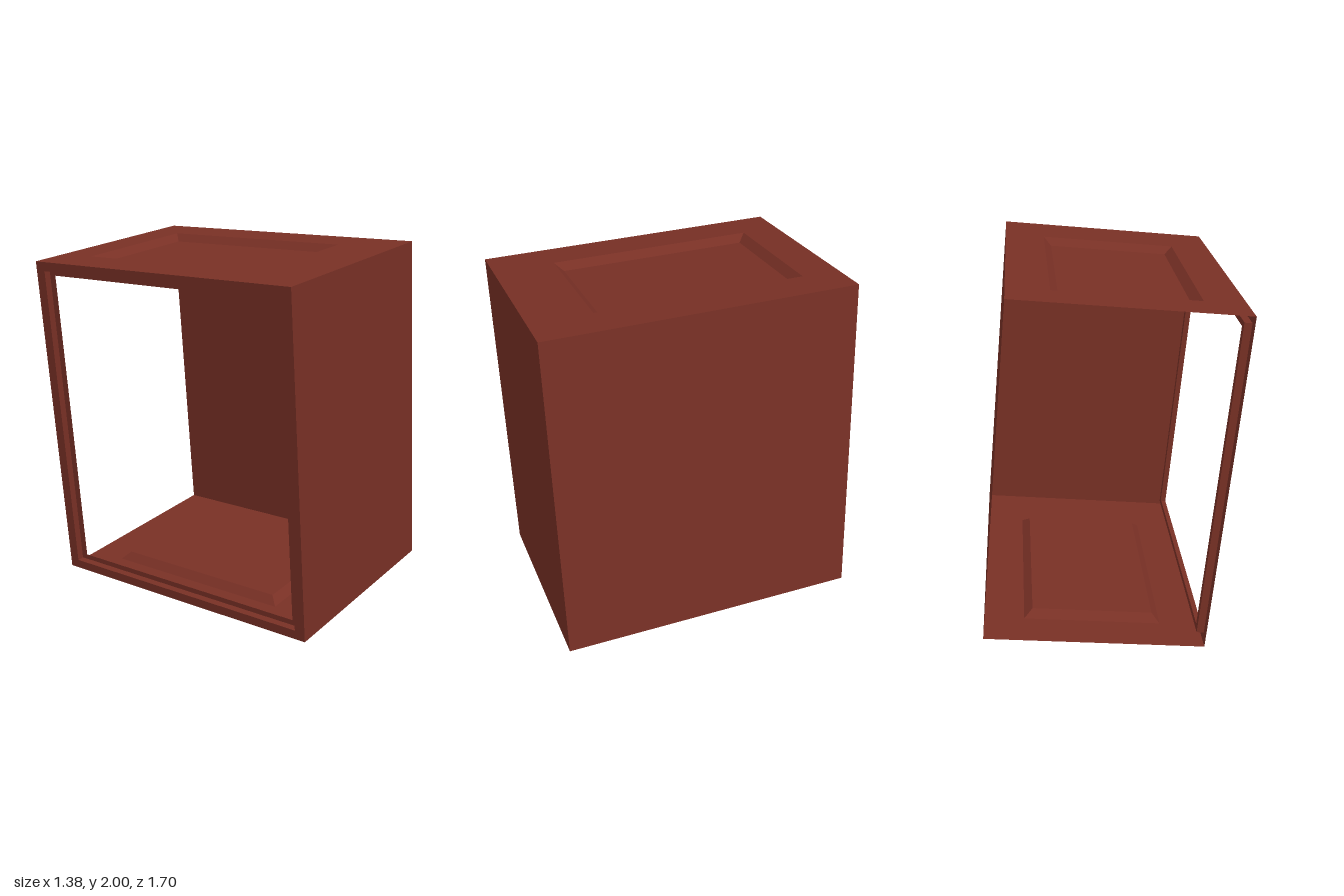
import * as THREE from 'three';

const W = 0.605, H = 0.9465, D = 0.85; // half sizes of the cabinet

// Surface facing +z through nested rectangles [u0, u1, v0, v1, depth]; optionally closed in the middle
function nestedRects(rings, capped) {
  const corners = ([u0, u1, v0, v1, z]) => [[u0, v0, z], [u1, v0, z], [u1, v1, z], [u0, v1, z]];
  const pos = [];
  const quad = (a, b, c, d) => pos.push(...a, ...b, ...c, ...a, ...c, ...d);
  for (let r = 0; r < rings.length - 1; r++) {
    const outer = corners(rings[r]), inner = corners(rings[r + 1]);
    for (let i = 0; i < 4; i++) {
      const j = (i + 1) % 4;
      quad(outer[i], outer[j], inner[j], inner[i]);
    }
  }
  if (capped) quad(...corners(rings[rings.length - 1]));
  const geo = new THREE.BufferGeometry();
  geo.setAttribute('position', new THREE.Float32BufferAttribute(pos, 3));
  geo.computeVertexNormals();
  return geo;
}

export function createModel() {
  const model = new THREE.Group();
  model.name = 'leaningCabinet';
  const paint = new THREE.MeshStandardMaterial({ color: 0x783025, side: THREE.DoubleSide });
  paint.name = 'brickRedPaint';

  // Whole shell leans sideways
  const shell = new THREE.Group();
  shell.name = 'shell';
  shell.position.y = 1;
  shell.rotation.z = THREE.MathUtils.degToRad(5.45);
  model.add(shell);

  const add = (name, geo) => {
    const mesh = new THREE.Mesh(geo, paint);
    mesh.name = name;
    shell.add(mesh);
  };

  // Plain front and side walls
  add('frontWall', new THREE.PlaneGeometry(2 * W, 2 * H).translate(0, 0, D));
  add('sideWall', new THREE.PlaneGeometry(2 * D, 2 * H).rotateY(Math.PI / 2).translate(W, 0, 0));

  // Top and bottom with a bevelled sunken panel, set slightly towards the back
  const sunken = (v0, v1) => nestedRects([
    [-W, W, -D, D, 0],
    [-0.382, 0.382, v0, v1, 0],
    [-0.338, 0.338, v0 + 0.045, v1 - 0.045, -0.04],
  ], true);
  add('topPanel', sunken(-0.51, 0.64).rotateX(-Math.PI / 2).translate(0, H, 0));
  add('bottomPanel', sunken(-0.64, 0.51).rotateX(Math.PI / 2).translate(0, -H, 0));

  // Open side with a stepped frame; the back stays open
  const rect = (u, v, z) => [-u, u, -v, v, z];
  add('openSideFrame', nestedRects([
    rect(D, H, 0), rect(0.79, 0.895, 0), rect(0.79, 0.895, -0.04), rect(0.75, 0.865, -0.04),
  ], false).rotateY(-Math.PI / 2).translate(-W, 0, 0));

  return model;
}
